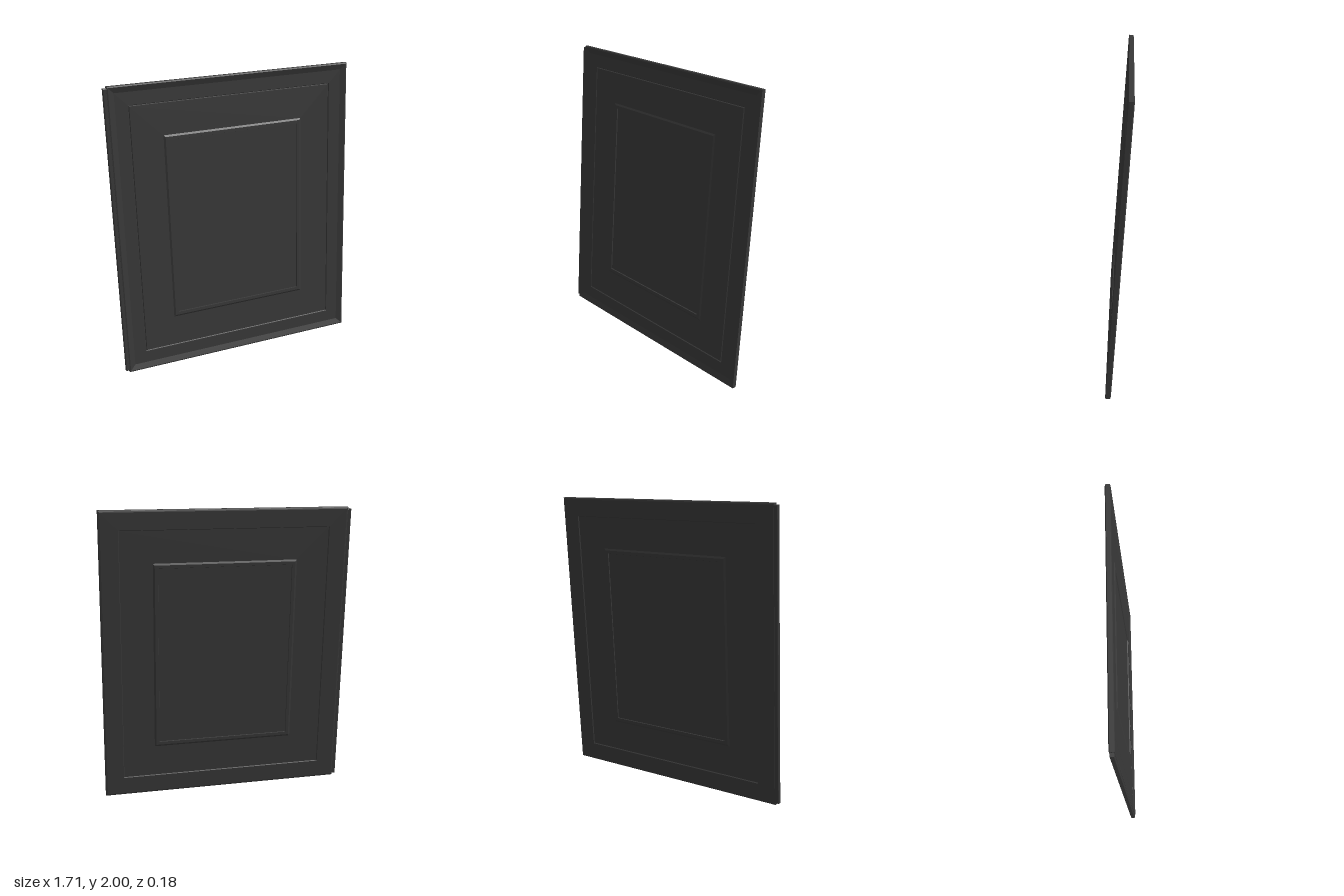
import * as THREE from 'three';

const W = 1.69, H = 2.002, LEAN = 0.0714;

// Solid made of nested rectangles: profile rows are [inset from the edge, z],
// running from the front centre, round the rim, to the back centre.
function rectLoft(width, height, profile) {
  const rings = profile.map(([inset, z]) => {
    const x = width / 2 - inset, y = height / 2 - inset;
    return [[-x, -y, z], [x, -y, z], [x, y, z], [-x, y, z]];
  });
  const pos = [];
  const quad = (a, b, c, d) => pos.push(...a, ...b, ...c, ...a, ...c, ...d);
  quad(...rings[0]);
  for (let k = 0; k < rings.length - 1; k++) {
    const a = rings[k], b = rings[k + 1];
    for (let i = 0; i < 4; i++) {
      const j = (i + 1) % 4;
      quad(a[i], b[i], b[j], a[j]);
    }
  }
  quad(...rings[rings.length - 1].slice().reverse());
  const geo = new THREE.BufferGeometry();
  geo.setAttribute('position', new THREE.Float32BufferAttribute(pos, 3));
  geo.computeVertexNormals();
  return geo;
}

export function createModel() {
  const model = new THREE.Group();
  model.name = 'leaningPanel';
  const material = new THREE.MeshStandardMaterial({ color: 0x383838 });

  const tilted = new THREE.Group();
  tilted.name = 'tiltedDoor';
  tilted.position.y = 1;
  tilted.rotation.x = -LEAN;
  model.add(tilted);

  const add = (name, geometry, x) => {
    const mesh = new THREE.Mesh(geometry, material);
    mesh.name = name;
    mesh.position.x = x;
    tilted.add(mesh);
  };

  // Door panel with sloped lip, groove and raised inner moulding
  add('doorPanel', rectLoft(W, H, [
    // front: centre field and raised moulding
    [0.385, 0.006], [0.383, 0.013], [0.362, 0.013], [0.35, 0.006],
    // front: incised groove
    [0.138, 0.006], [0.134, 0.000], [0.130, 0.006],
    // front: lip sloping up to the rim
    [0.045, 0.006], [0.008, 0.0185], [0, 0.0155],
    // rounded back edge
    [0, -0.012], [0.004, -0.016], [0.012, -0.0185],
    // back: frame, recessed field and raised moulding
    [0.128, -0.0185], [0.132, -0.012], [0.35, -0.012],
    [0.362, -0.018], [0.383, -0.018], [0.385, -0.012],
  ]), 0.01);

  // Slim strip along the model's right edge
  add('edgeStrip', rectLoft(0.03, H - 0.024, [
    [0.004, 0.014], [0, 0.011], [0, -0.011], [0.004, -0.014],
  ]), -0.843);

  return model;
}
